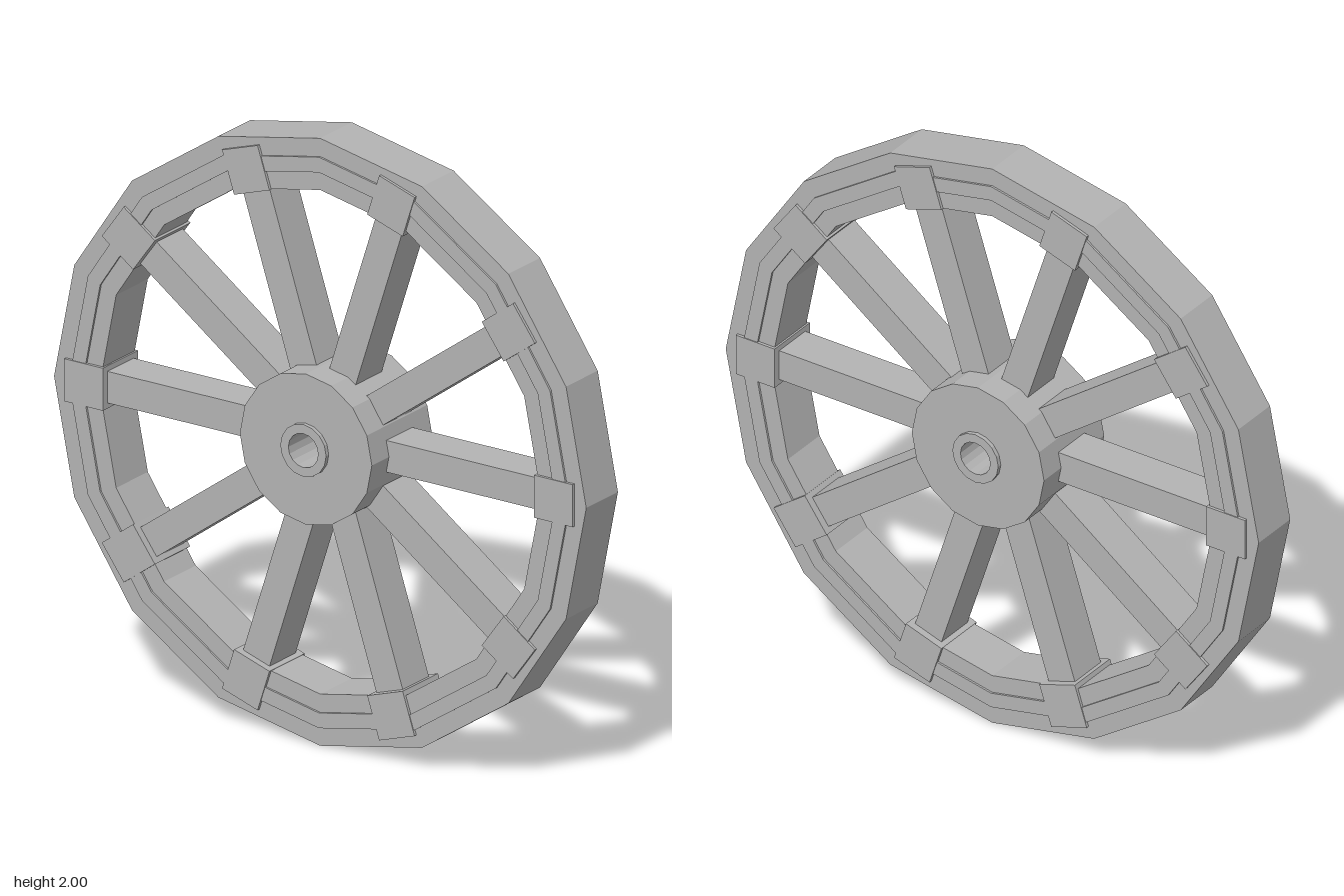
import * as THREE from 'three';

const SIDES = 16;
const SPOKES = 10;

// Faceted ring about the z axis from a closed (radius, z) profile
function ring(name, profile, material) {
  const points = [...profile, profile[0]].map(([r, z]) => new THREE.Vector2(r, z));
  const geometry = new THREE.LatheGeometry(points, SIDES).rotateX(Math.PI / 2).toNonIndexed();
  geometry.computeVertexNormals();
  const mesh = new THREE.Mesh(geometry, material);
  mesh.name = name;
  return mesh;
}

// Box lying along the radius between two distances from the axle
function radialBox(name, r0, r1, width, depth, material) {
  const geometry = new THREE.BoxGeometry(r1 - r0, width, depth).translate((r0 + r1) / 2, 0, 0);
  const mesh = new THREE.Mesh(geometry, material);
  mesh.name = name;
  return mesh;
}

export function createModel() {
  const grey = new THREE.MeshStandardMaterial({ color: 0xb3b3b3 });
  grey.name = 'grey';

  const wheel = new THREE.Group();
  wheel.name = 'wheel';
  wheel.position.y = 1;

  // Rim with a slim raised band on each face
  wheel.add(ring('rim', [
    [1, -0.085], [1, 0.085],
    [0.94, 0.085], [0.94, 0.092], [0.89, 0.092], [0.89, 0.085],
    [0.83, 0.085], [0.83, -0.085],
    [0.89, -0.085], [0.89, -0.092], [0.94, -0.092], [0.94, -0.085],
  ], grey));

  // Hub with a collar at each end and an axle hole right through
  wheel.add(ring('hub', [
    [0.248, -0.162], [0.248, 0.162],
    [0.086, 0.162], [0.086, 0.176],
    [0.056, 0.176], [0.056, -0.176],
    [0.086, -0.176], [0.086, -0.162],
  ], grey));

  // Spokes, each held by a bracket around the rim
  for (let i = 0; i < SPOKES; i++) {
    const arm = new THREE.Group();
    arm.name = 'spokeAssembly';
    arm.rotation.z = (i / SPOKES) * Math.PI * 2;
    arm.add(radialBox('spoke', 0.2, 0.85, 0.104, 0.14, grey));
    arm.add(radialBox('bracket', 0.81, 0.955, 0.14, 0.19, grey));
    wheel.add(arm);
  }

  const model = new THREE.Group();
  model.name = 'spokedWheel';
  model.add(wheel);
  return model;
}
